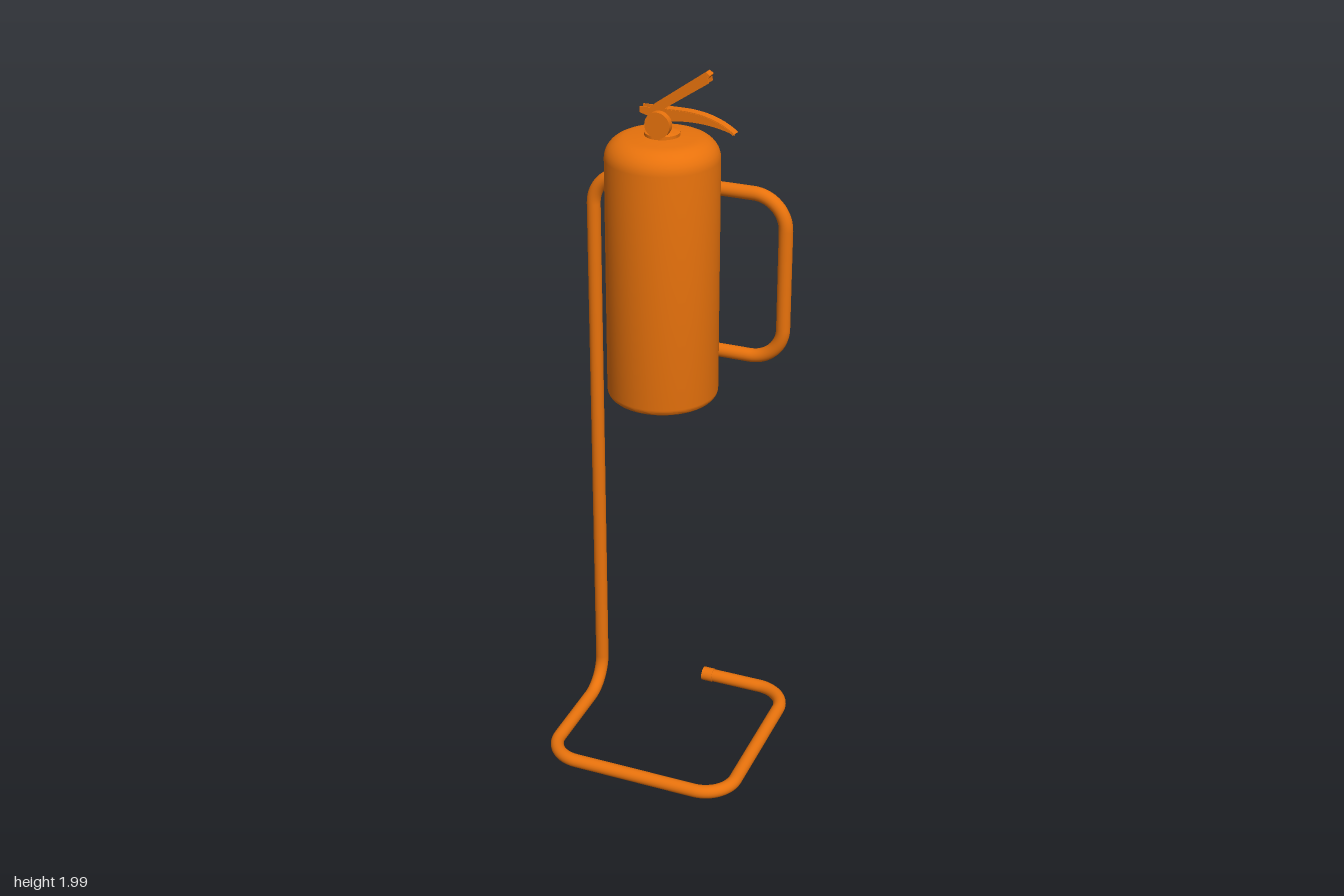
import * as THREE from 'three';
import { toCreasedNormals } from 'three/addons/utils/BufferGeometryUtils.js';

const ORANGE = 0xe8720c;
const V = (x, y, z) => new THREE.Vector3(x, y, z);

export function createModel() {
  const model = new THREE.Group();
  const paint = new THREE.MeshStandardMaterial({ color: ORANGE });
  const thinPaint = new THREE.MeshStandardMaterial({ color: ORANGE, side: THREE.DoubleSide });

  function add(parent, name, geometry, x = 0, y = 0, z = 0, material = paint) {
    const mesh = new THREE.Mesh(geometry, material);
    mesh.name = name;
    mesh.position.set(x, y, z);
    parent.add(mesh);
    return mesh;
  }
  const group = (name, x = 0, y = 0, z = 0) => {
    const g = new THREE.Group();
    g.name = name;
    g.position.set(x, y, z);
    model.add(g);
    return g;
  };
  const lathe = (points, sides = 48) => toCreasedNormals(
    new THREE.LatheGeometry(points.map(p => new THREE.Vector2(...p)), sides), 0.6);

  // Stand: one bent pipe made of straight lengths and quarter bends
  const stand = group('stand');
  const R = 0.0185, BEND = 0.09, S = 0.268, BACK = -0.125, FLOOR = 0.026;
  const corners = [
    V(0, FLOOR, -S), V(S, FLOOR, -S), V(S, FLOOR, S), V(-S, FLOOR, S),
    V(-S, FLOOR, BACK), V(-S, 1.635, BACK), V(S, 1.635, BACK),
    V(S, 1.18, BACK), V(-0.125, 1.18, BACK),
  ];
  function rod(name, a, b, radius) {
    const dir = b.clone().sub(a);
    const mid = a.clone().add(b).multiplyScalar(0.5);
    const mesh = add(stand, name, new THREE.CylinderGeometry(radius, radius, dir.length(), 20), mid.x, mid.y, mid.z);
    mesh.quaternion.setFromUnitVectors(V(0, 1, 0), dir.normalize());
  }
  // Quarter-circle centre line with exact tangents
  class Bend extends THREE.Curve {
    constructor(corner, inDir, outDir) {
      super();
      Object.assign(this, { corner, inDir, outDir });
    }
    getPoint(t, target = new THREE.Vector3()) {
      const a = t * Math.PI / 2;
      return target.copy(this.corner)
        .addScaledVector(this.inDir, BEND * (Math.sin(a) - 1))
        .addScaledVector(this.outDir, BEND * (1 - Math.cos(a)));
    }
  }
  let start = corners[0];
  for (let i = 1; i < corners.length; i++) {
    const corner = corners[i];
    const inDir = corner.clone().sub(corners[i - 1]).normalize();
    const last = i === corners.length - 1;
    const end = last ? corner : corner.clone().addScaledVector(inDir, -BEND);
    rod('pipe', start, end, R);
    if (last) break;
    const outDir = corners[i + 1].clone().sub(corner).normalize();
    add(stand, 'pipeBend', new THREE.TubeGeometry(new Bend(corner, inDir, outDir), 14, R, 20));
    start = corner.clone().addScaledVector(outDir, BEND);
  }
  // Plugs on the two open pipe ends
  rod('endCap', V(0, FLOOR, -S), V(0.032, FLOOR, -S), 0.0202);
  rod('endCap', V(-0.125, 1.18, BACK), V(-0.093, 1.18, BACK), 0.0202);

  // Pressure cylinder with rounded shoulder and recessed base
  const tank = group('extinguisher', 0, 0, 0.05);
  const profile = [[0, 1.15], [0.03, 1.147], [0.055, 1.138], [0.06, 1.12], [0.07, 1.115], [0.125, 1.115]];
  for (let i = 1; i <= 5; i++) {
    const a = i / 5 * Math.PI / 2;
    profile.push([0.125 + 0.02 * Math.sin(a), 1.135 - 0.02 * Math.cos(a)]);
  }
  for (let i = 0; i <= 8; i++) {
    const a = i / 8 * Math.PI / 2;
    profile.push([0.085 + 0.06 * Math.cos(a), 1.765 + 0.055 * Math.sin(a)]);
  }
  profile.push([0.045, 1.824], [0, 1.825]);
  add(tank, 'cylinder', lathe(profile));

  // Valve: collar, neck and body
  add(tank, 'neckCollar', lathe([[0, 1.82], [0.045, 1.82], [0.045, 1.832], [0.026, 1.838], [0, 1.838]], 32));
  add(tank, 'valveNeck', new THREE.CylinderGeometry(0.02, 0.024, 0.05, 24), 0, 1.855, 0);
  add(tank, 'valveBody', new THREE.BoxGeometry(0.04, 0.035, 0.03), -0.005, 1.878, 0);
  add(tank, 'gaugeStem', new THREE.CylinderGeometry(0.01, 0.01, 0.04, 16), 0, 1.861, 0.022).rotation.x = Math.PI / 2;
  add(tank, 'gauge', new THREE.CylinderGeometry(0.033, 0.033, 0.018, 28), 0.004, 1.861, 0.037).rotation.x = Math.PI / 2;

  // Handles: folded sheet channels, a top plate with two side flanges
  function plate(name, outline, depth, z) {
    const geo = new THREE.ExtrudeGeometry(outline, { depth, bevelEnabled: false, curveSegments: 10 });
    add(tank, name, toCreasedNormals(geo, 0.5), 0, 0, z);
  }
  const lever = new THREE.Shape();
  lever.moveTo(-0.027, 1.895);
  lever.lineTo(0.118, 1.998);
  lever.lineTo(0.128, 1.99);
  lever.lineTo(0.124, 1.983);
  lever.lineTo(-0.024, 1.889);
  const leverSide = new THREE.Shape();
  leverSide.moveTo(-0.03, 1.892);
  leverSide.lineTo(0.12, 1.995);
  leverSide.lineTo(0.126, 1.972);
  leverSide.lineTo(0.015, 1.898);
  leverSide.lineTo(-0.005, 1.868);
  leverSide.lineTo(-0.028, 1.868);
  const grip = new THREE.Shape();
  grip.moveTo(0, 1.895);
  grip.lineTo(0.06, 1.895);
  grip.quadraticCurveTo(0.14, 1.893, 0.193, 1.852);
  grip.lineTo(0.188, 1.848);
  grip.quadraticCurveTo(0.14, 1.887, 0.06, 1.889);
  grip.lineTo(0, 1.889);
  const gripSide = new THREE.Shape();
  gripSide.moveTo(-0.055, 1.893);
  gripSide.lineTo(0.06, 1.893);
  gripSide.quadraticCurveTo(0.14, 1.891, 0.193, 1.85);
  gripSide.quadraticCurveTo(0.13, 1.872, 0.06, 1.868);
  gripSide.lineTo(0, 1.862);
  gripSide.lineTo(-0.055, 1.878);
  plate('squeezeLever', lever, 0.026, -0.013);
  plate('carryHandle', grip, 0.024, -0.012);
  for (const s of [-1, 1]) {
    plate('leverFlange', leverSide, 0.003, s * 0.0135 - 0.0015);
    plate('handleFlange', gripSide, 0.003, s * 0.0115 - 0.0015);
  }
  add(tank, 'pivotPin', new THREE.CylinderGeometry(0.005, 0.005, 0.034, 12), -0.018, 1.88, 0).rotation.x = Math.PI / 2;

  // Wall-hook bracket joining the cylinder to the top rail
  const bracket = group('hangingBracket');
  add(bracket, 'backPlate', new THREE.BoxGeometry(0.09, 0.025, 0.008), 0, 1.69, -0.092, thinPaint);
  add(bracket, 'stemPlate', new THREE.BoxGeometry(0.044, 0.08, 0.006), 0, 1.66, -0.096, thinPaint);
  add(bracket, 'hook', new THREE.BoxGeometry(0.044, 0.05, 0.012), 0, 1.645, -0.104, thinPaint);

  return model;
}
